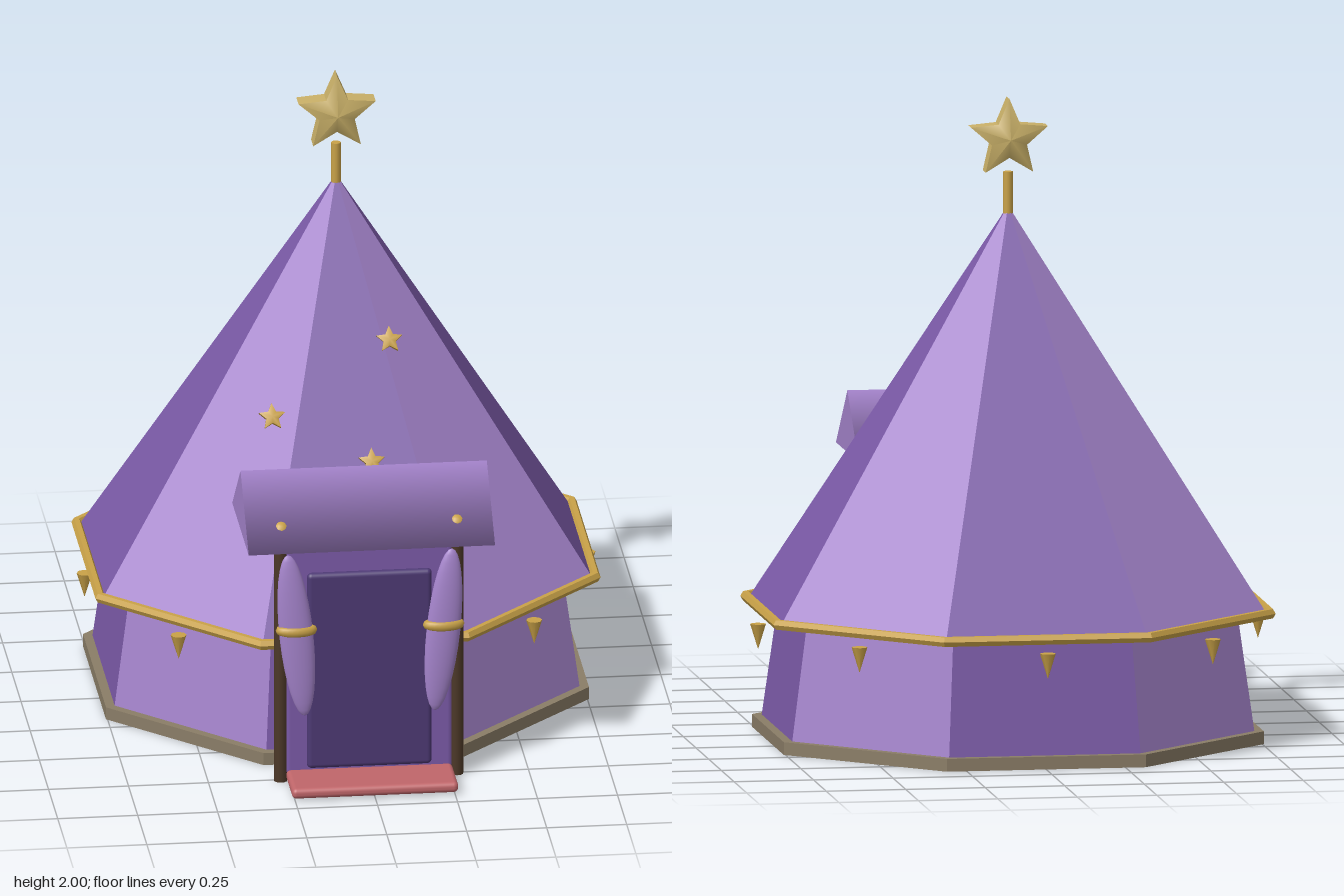
import * as THREE from 'three';
import { toCreasedNormals } from 'three/addons/utils/BufferGeometryUtils.js';
import { RoundedBoxGeometry } from 'three/addons/geometries/RoundedBoxGeometry.js';

const mat = (name, color) => {
  const m = new THREE.MeshStandardMaterial({ color });
  m.name = name;
  return m;
};
const ZC = -0.133;                       // z of the tent axis
const OCT = 1 / Math.cos(Math.PI / 8);   // apothem to corner radius

const flat = (geo) => {
  const g = geo.toNonIndexed();
  g.computeVertexNormals();
  return g;
};

// Eight-sided ring of panels with a flat side to the front; a = apothem
function octagon(aTop, aBottom, y0, y1, open) {
  const g = new THREE.CylinderGeometry(aTop * OCT, aBottom * OCT, y1 - y0, 8, 1, open, -Math.PI / 8);
  g.translate(0, (y0 + y1) / 2, 0);
  return g;
}

// Cardinal panels take material 0, diagonal panels material 1
function stripedOctagon(aTop, aBottom, y0, y1) {
  const g = octagon(aTop, aBottom, y0, y1, true);
  g.clearGroups();
  for (let i = 0; i < 8; i++) g.addGroup(i * 6, 6, i % 2);
  return flat(g);
}

// Puffed five-pointed star: rim at half the depth of the centre
function starGeometry(R, r, depth) {
  const rim = (i, z) => {
    const a = Math.PI / 2 + (i * Math.PI) / 5;
    const q = i % 2 ? r : R;
    return [Math.cos(a) * q, Math.sin(a) * q, z];
  };
  const p = [], h = depth / 2;
  for (let i = 0; i < 10; i++) {
    const a = rim(i, h), b = rim(i + 1, h), c = rim(i, -h), d = rim(i + 1, -h);
    p.push(...a, ...b, 0, 0, depth);
    p.push(...d, ...c, 0, 0, -depth);
    p.push(...a, ...c, ...d, ...a, ...d, ...b);
  }
  const g = new THREE.BufferGeometry();
  g.setAttribute('position', new THREE.Float32BufferAttribute(p, 3));
  g.computeVertexNormals();
  return toCreasedNormals(g, 1.0);
}

export function createModel() {
  const light = mat('light purple', 0xa584cc);
  const dark = mat('dark purple', 0x7b5aa8);
  const doorMat = mat('deep purple', 0x4d3974);
  const gold = mat('gold', 0xc9a248);
  const paleGold = mat('pale gold', 0xc9b068);
  const stone = mat('stone', 0x8a7d67);
  const wood = mat('dark wood', 0x4c3828);
  const red = mat('rose red', 0xc0666a);

  const model = new THREE.Group();
  const add = (name, geo, material, x = 0, y = 0, z = 0, parent = model) => {
    const m = new THREE.Mesh(geo, material);
    m.name = name;
    m.position.set(x, y, z);
    parent.add(m);
    return m;
  };

  // Tent body
  const tent = new THREE.Group();
  tent.name = 'tent';
  tent.position.z = ZC;
  model.add(tent);
  add('foundation', flat(octagon(0.755, 0.755, 0, 0.04, false)), stone, 0, 0, 0, tent);
  add('walls', stripedOctagon(0.675, 0.728, 0.03, 0.42), [dark, light], 0, 0, 0, tent);
  add('roof', stripedOctagon(0.008, 0.76, 0.415, 1.65), [dark, light], 0, 0, 0, tent);
  const soffit = new THREE.CircleGeometry(0.76 * OCT, 8, Math.PI / 8);
  soffit.rotateX(Math.PI / 2);
  add('roofUnderside', soffit, dark, 0, 0.415, 0, tent);

  // Eave trim and hanging drops on every side but the front
  const trim = new THREE.TorusGeometry(0.774 * OCT, 0.017, 6, 8);
  trim.rotateX(Math.PI / 2);
  trim.rotateY(Math.PI / 8);
  add('eaveTrim', flat(trim), gold, 0, 0.41, 0, tent);
  const drop = new THREE.ConeGeometry(0.025, 0.08, 8);
  drop.rotateX(Math.PI);
  for (let i = 1; i < 8; i++) {
    const a = (i * Math.PI) / 4;
    add('eaveDrop', drop, gold, Math.sin(a) * 0.786, 0.328, Math.cos(a) * 0.786, tent);
  }

  // Finial
  add('finialPole', new THREE.CylinderGeometry(0.015, 0.015, 0.16, 12), gold, 0, 1.69, 0, tent);
  add('finialStar', starGeometry(0.127, 0.058, 0.06), paleGold, 0, 1.874, 0, tent);

  // Small stars on the roof front
  const smallStar = starGeometry(0.043, 0.02, 0.016);
  for (const [x, y, z] of [[-0.245, 1.018, 0.262], [0.135, 1.212, 0.142], [0.057, 0.888, 0.345]]) {
    add('roofStar', smallStar, gold, x, y, z).rotation.x = -0.55;
  }

  // Porch body, door and mat
  add('porchBody', new RoundedBoxGeometry(0.53, 0.775, 0.21, 3, 0.02), dark, 0, 0.405, 0.667);
  add('door', new RoundedBoxGeometry(0.39, 0.65, 0.04, 3, 0.015), doorMat, 0, 0.37, 0.768);
  add('doorMat', new RoundedBoxGeometry(0.52, 0.034, 0.18, 3, 0.015), red, 0, 0.024, 0.855);

  // Porch roof: three-sided prism along x
  const prism = new THREE.CylinderGeometry(0.26, 0.26, 0.77, 3);
  prism.rotateZ(Math.PI / 2);
  prism.rotateX(-Math.PI / 2);
  prism.scale(1, 0.5, 1);
  add('porchRoof', prism, light, 0, 0.855, 0.62);

  // Posts, knobs, curtains and ties on both sides
  const curtain = new THREE.SphereGeometry(1, 24, 16);
  curtain.scale(0.053, 0.27, 0.025);
  const tie = new THREE.TorusGeometry(0.05, 0.015, 8, 24);
  tie.rotateX(Math.PI / 2);
  tie.scale(1, 1, 0.5);
  for (const s of [-1, 1]) {
    add('post', new THREE.CylinderGeometry(0.021, 0.021, 0.83, 12), wood, s * 0.275, 0.415, 0.755);
    add('postKnob', new THREE.SphereGeometry(0.03, 16, 12), gold, s * 0.275, 0.835, 0.755);
    add('curtain', curtain, light, s * 0.23, 0.495, 0.79).rotation.z = -s * 0.1;
    add('curtainTie', tie, gold, s * 0.23, 0.514, 0.793);
  }
  return model;
}
